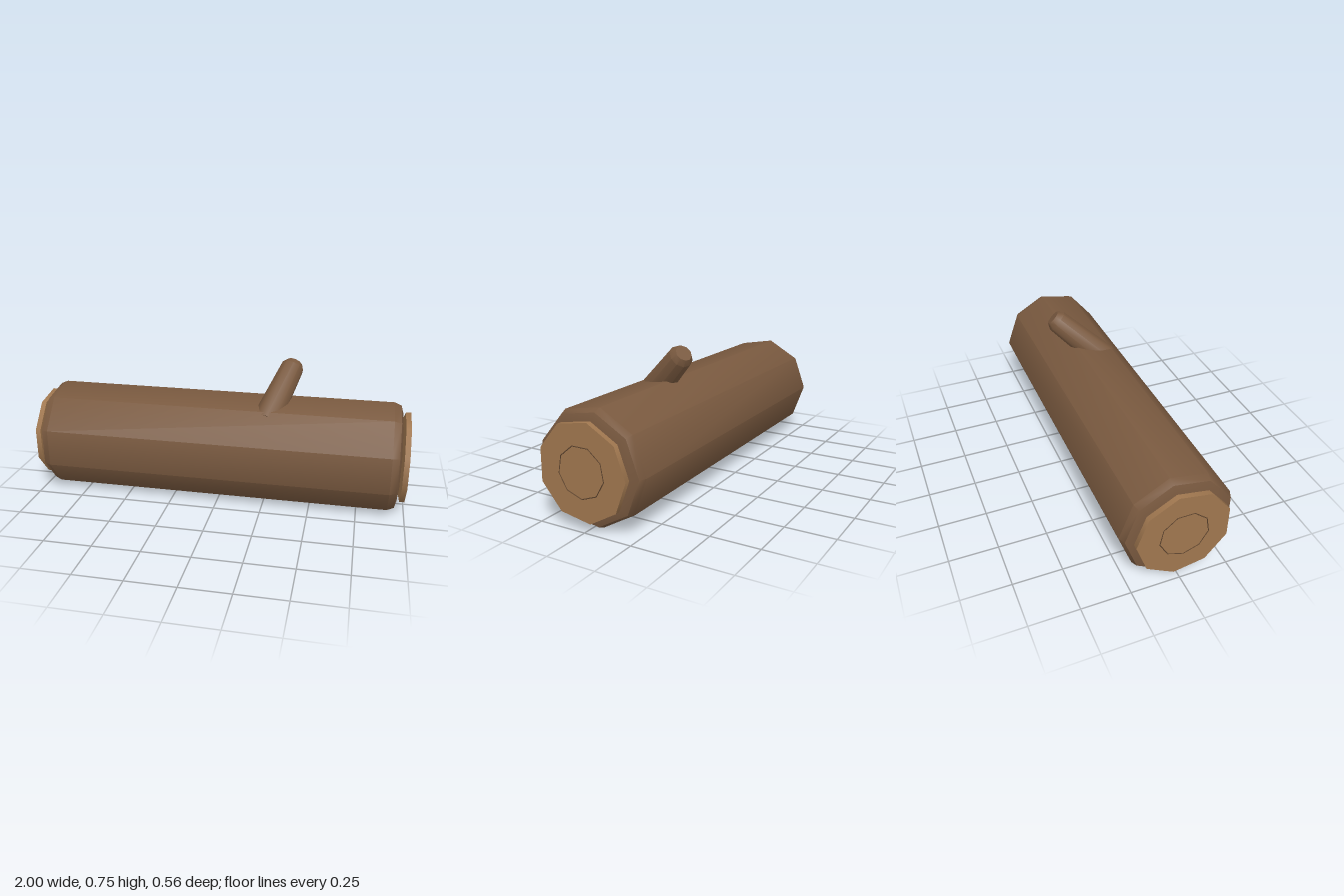
import * as THREE from 'three';
import { toCreasedNormals } from 'three/addons/utils/BufferGeometryUtils.js';

const SIDES = 9;
const CENTRE = [0, 0.285, 0.008];

const bark = new THREE.MeshStandardMaterial({ color: 0x79593f });
bark.name = 'bark';
const cutWood = new THREE.MeshStandardMaterial({ color: 0xa0774f });
cutWood.name = 'cut wood';
const growthLine = new THREE.MeshStandardMaterial({ color: 0x5f452f });
growthLine.name = 'growth line';

// Turned solid from [radius, height] pairs, smooth around, sharp at steep bevels
function turned(profile, sides) {
  const points = profile.map(([r, h]) => new THREE.Vector2(r, h));
  return toCreasedNormals(new THREE.LatheGeometry(points, sides), 0.75);
}

function addPart(group, name, geometry, material) {
  const mesh = new THREE.Mesh(geometry, material);
  mesh.name = name;
  group.add(mesh);
  return mesh;
}

export function createModel() {
  const model = new THREE.Group();
  model.name = 'log';

  // Trunk lying along x, with bevelled ends
  const end = [[0.288, 0.91], [0.273, 0.946], [0.236, 0.957], [0, 0.957]];
  const profile = [...end.map(([r, h]) => [r, -h]).reverse(), ...end];
  const trunk = turned(profile, SIDES).rotateY(Math.PI).rotateZ(-Math.PI / 2);
  addPart(model, 'trunk', trunk, bark).position.set(...CENTRE);

  // Cut faces standing just off each end, each with one growth ring
  for (const side of [-1, 1]) {
    const cut = new THREE.Group();
    cut.name = side > 0 ? 'leftCutEnd' : 'rightCutEnd';
    cut.position.set(...CENTRE);
    model.add(cut);

    const disc = new THREE.CylinderGeometry(0.239, 0.239, 0.027, SIDES)
      .rotateY(Math.PI).rotateZ(-Math.PI / 2);
    addPart(cut, 'cutFace', disc, cutWood).position.x = side * 0.984;

    const ring = new THREE.TorusGeometry(0.125, 0.0025, 4, SIDES)
      .rotateZ(-Math.PI / 2).rotateY(Math.PI / 2);
    addPart(cut, 'growthRing', ring, growthLine).position.x = side * 0.9975;
  }

  // Tapered branch stub leaning back and to the left
  const base = new THREE.Vector3(0.255, 0.47, 0.115);
  const tip = new THREE.Vector3(0.37, 0.722, -0.145);
  const axis = tip.clone().sub(base);
  const length = axis.length();
  const stub = turned(
    [[0, 0], [0.077, 0], [0.062, length - 0.03], [0.043, length], [0, length]], 10);
  const branch = addPart(model, 'branchStub', stub, bark);
  branch.position.copy(base);
  branch.quaternion.setFromUnitVectors(new THREE.Vector3(0, 1, 0), axis.normalize());

  return model;
}
